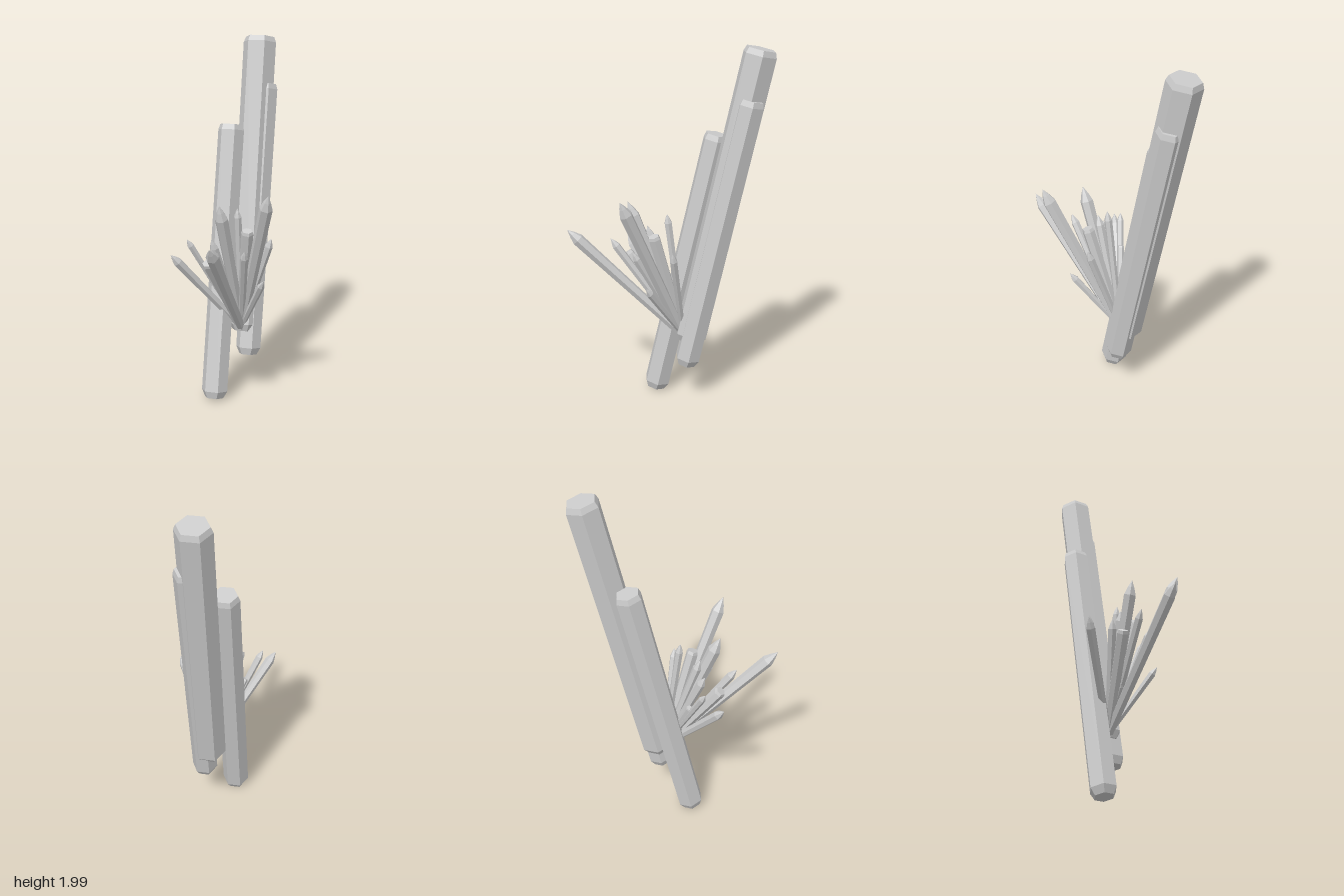
import * as THREE from 'three';

const material = new THREE.MeshStandardMaterial({ color: 0xcccccc, flatShading: true, side: THREE.DoubleSide });
const UP = new THREE.Vector3(0, 1, 0);

// Six-sided prism from one point to another; profile(length) gives [radius, height] pairs
function crystal(name, from, to, profile) {
  const a = new THREE.Vector3(...from);
  const axis = new THREE.Vector3(...to).sub(a);
  const points = profile(axis.length()).map(([r, y]) => new THREE.Vector2(r, y));
  const mesh = new THREE.Mesh(new THREE.LatheGeometry(points, 6, Math.PI / 6), material);
  mesh.name = name;
  mesh.position.copy(a);
  mesh.quaternion.setFromUnitVectors(UP, axis.normalize());
  return mesh;
}

// Thick column with bevelled flat ends
const column = (r) => (h) => [
  [0, 0], [r * 0.72, 0], [r, 0.04], [r, h - 0.03], [r * 0.87, h], [0, h],
];
// Small shard with a sharp point
const pointed = (r) => (h) => [
  [0, 0], [r * 0.75, 0], [r, h - r * 2.3], [r * 0.55, h - r * 1.1], [0, h],
];
// Small shard with a flat end
const blunt = (r) => (h) => [
  [0, 0], [r * 0.8, 0], [r, h - r * 0.5], [r * 0.85, h], [0, h],
];

export function createModel() {
  const model = new THREE.Group();
  model.name = 'crystalCluster';

  // Three leaning columns
  model.add(
    crystal('tallColumn', [0.035, 0.37, -0.115], [0.032, 1.985, -0.47], column(0.093)),
    crystal('frontColumn', [-0.088, 0.02, 0.07], [-0.078, 1.518, -0.265], column(0.074)),
    crystal('sideColumn', [0.065, 0.235, -0.095], [0.075, 1.73, -0.425], column(0.071)),
  );

  // Spray of small shards fanning out of one spot: tip, radius, end shape
  const root = [0.03, 0.4, -0.08];
  const shards = [
    [[0.26, 1.25, 0.262], 0.036, pointed],
    [[0.03, 1.03, 0.545], 0.034, pointed],
    [[-0.28, 0.885, 0.22], 0.026, pointed],
    [[-0.22, 0.95, 0.125], 0.019, pointed],
    [[0.215, 0.95, -0.01], 0.022, pointed],
    [[0.205, 0.75, 0.13], 0.02, pointed],
    [[0.105, 1.01, 0.085], 0.034, blunt],
    [[0.12, 0.93, 0.2], 0.022, pointed],
    [[-0.012, 1.17, 0.22], 0.036, pointed],
    [[0.03, 1.11, 0.01], 0.022, pointed],
    [[-0.075, 0.86, 0.225], 0.033, blunt],
    [[-0.02, 0.96, 0.315], 0.023, pointed],
    [[-0.08, 0.96, 0.135], 0.024, pointed],
    [[-0.015, 1.03, 0.115], 0.025, pointed],
    [[-0.135, 0.8, 0.05], 0.019, blunt],
    [[0.0, 0.64, 0.1], 0.016, pointed],
  ];
  const spray = new THREE.Group();
  spray.name = 'shardSpray';
  shards.forEach(([tip, r, end]) => spray.add(crystal('shard', root, tip, end(r))));
  model.add(spray);

  return model;
}
